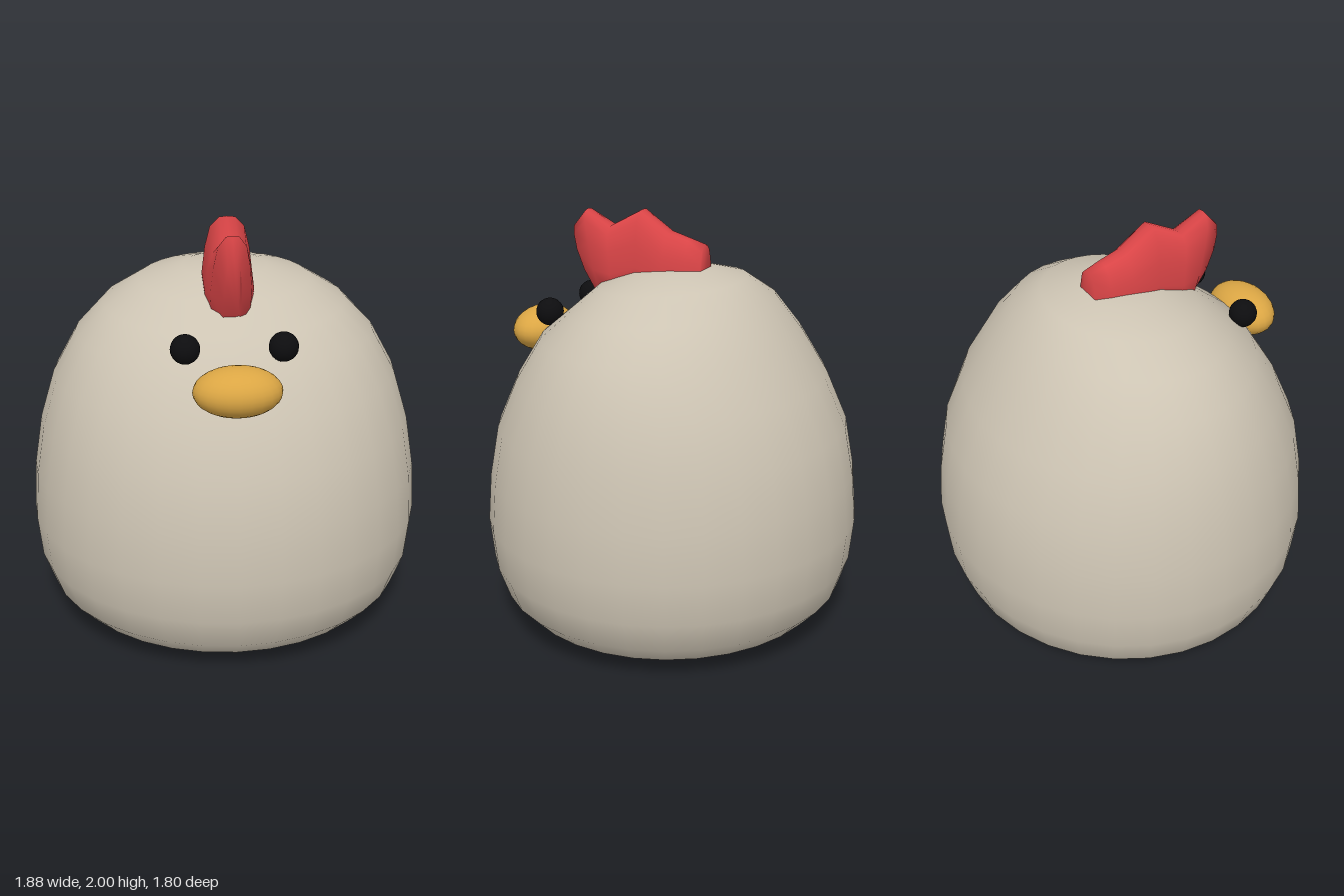
import * as THREE from 'three';
import { mergeVertices } from 'three/addons/utils/BufferGeometryUtils.js';

function material(name, color) {
  const m = new THREE.MeshStandardMaterial({ color });
  m.name = name;
  return m;
}

function addMesh(group, name, geometry, mat) {
  const mesh = new THREE.Mesh(geometry, mat);
  mesh.name = name;
  group.add(mesh);
  return mesh;
}

// Plump body: rings of [height, half width, half depth]
function bodyGeometry() {
  const rings = [
    [0, 0, 0], [0, 0.28, 0.27], [0.004, 0.52, 0.5], [0.03, 0.66, 0.63], [0.09, 0.78, 0.745], [0.18, 0.865, 0.83],
    [0.33, 0.92, 0.88], [0.53, 0.94, 0.9], [0.76, 0.925, 0.88], [1.0, 0.885, 0.835],
    [1.23, 0.815, 0.73], [1.43, 0.705, 0.605], [1.57, 0.57, 0.475], [1.675, 0.4, 0.345],
    [1.73, 0.2, 0.18], [1.742, 0, 0],
  ];
  const g = new THREE.LatheGeometry(rings.map(([y, r]) => new THREE.Vector2(r, y)), 32);
  const p = g.attributes.position;
  for (let i = 0; i < p.count; i++) {
    const [y, rx, rz] = rings[i % rings.length];
    const z = rx > 0 ? p.getZ(i) * rz / rx : 0;
    p.setZ(i, z);
    // The crown tips slightly towards the front
    if (y > 1.5) p.setY(i, y - 0.07 * z);
  }
  g.deleteAttribute('uv');
  g.deleteAttribute('normal');
  const merged = mergeVertices(g, 1e-4);
  merged.computeVertexNormals();
  return merged;
}

// Three-peaked comb: stations from front to back of [bottom z, bottom y, top z, top y, half width]
function combGeometry() {
  const stations = [
    [0.38, 1.58, 0.52, 1.9, 0.04],
    [0.34, 1.56, 0.445, 1.985, 0.092],
    [0.26, 1.58, 0.315, 1.915, 0.112],
    [0.14, 1.6, 0.155, 2.0, 0.115],
    [0.02, 1.6, 0.015, 1.905, 0.106],
    [-0.09, 1.6, -0.09, 1.875, 0.092],
    [-0.165, 1.62, -0.165, 1.853, 0.07],
  ];
  const half = [[0.9, 0], [1, 0.35], [0.88, 0.65], [0.68, 0.88], [0.32, 0.99]];
  const section = [...half, [0, 1], ...half.slice().reverse().map(([u, t]) => [-u, t])];
  const n = section.length;
  const positions = [];
  const index = [];
  stations.forEach(([zb, yb, zt, yt, w], i) => {
    for (const [u, t] of section) {
      const bulge = i === 0 ? 0.025 * Math.sin(Math.PI * t) : 0;
      positions.push(u * w, yb + (yt - yb) * t, zb + (zt - zb) * t + bulge);
    }
  });
  for (let i = 0; i < stations.length - 1; i++) {
    for (let j = 0; j < n; j++) {
      const k = (j + 1) % n;
      const a = i * n + j, b = i * n + k, c = a + n, d = b + n;
      index.push(a, c, b, b, c, d);
    }
  }
  // End caps
  const last = (stations.length - 1) * n;
  for (let j = 1; j < n - 1; j++) {
    index.push(0, j, j + 1);
    index.push(last, last + j + 1, last + j);
  }
  const g = new THREE.BufferGeometry();
  g.setAttribute('position', new THREE.Float32BufferAttribute(positions, 3));
  g.setIndex(index);
  g.computeVertexNormals();
  return g;
}

export function createModel() {
  const group = new THREE.Group();
  group.name = 'chicken';
  const cream = material('cream', 0xcdc4b3);
  const red = material('red', 0xd84446);
  const yellow = material('yellow', 0xdba644);
  const black = material('black', 0x0d0d0f);

  addMesh(group, 'body', bodyGeometry(), cream);
  addMesh(group, 'comb', combGeometry(), red);

  const beak = addMesh(group, 'beak', new THREE.SphereGeometry(1, 24, 16), yellow);
  beak.scale.set(0.195, 0.11, 0.138);
  beak.position.set(0, 1.375, 0.707);

  for (const side of [1, -1]) {
    const eye = addMesh(group, side > 0 ? 'leftEye' : 'rightEye', new THREE.SphereGeometry(0.066, 20, 14), black);
    eye.position.set(side * 0.215, 1.515, 0.549);
  }
  return group;
}
